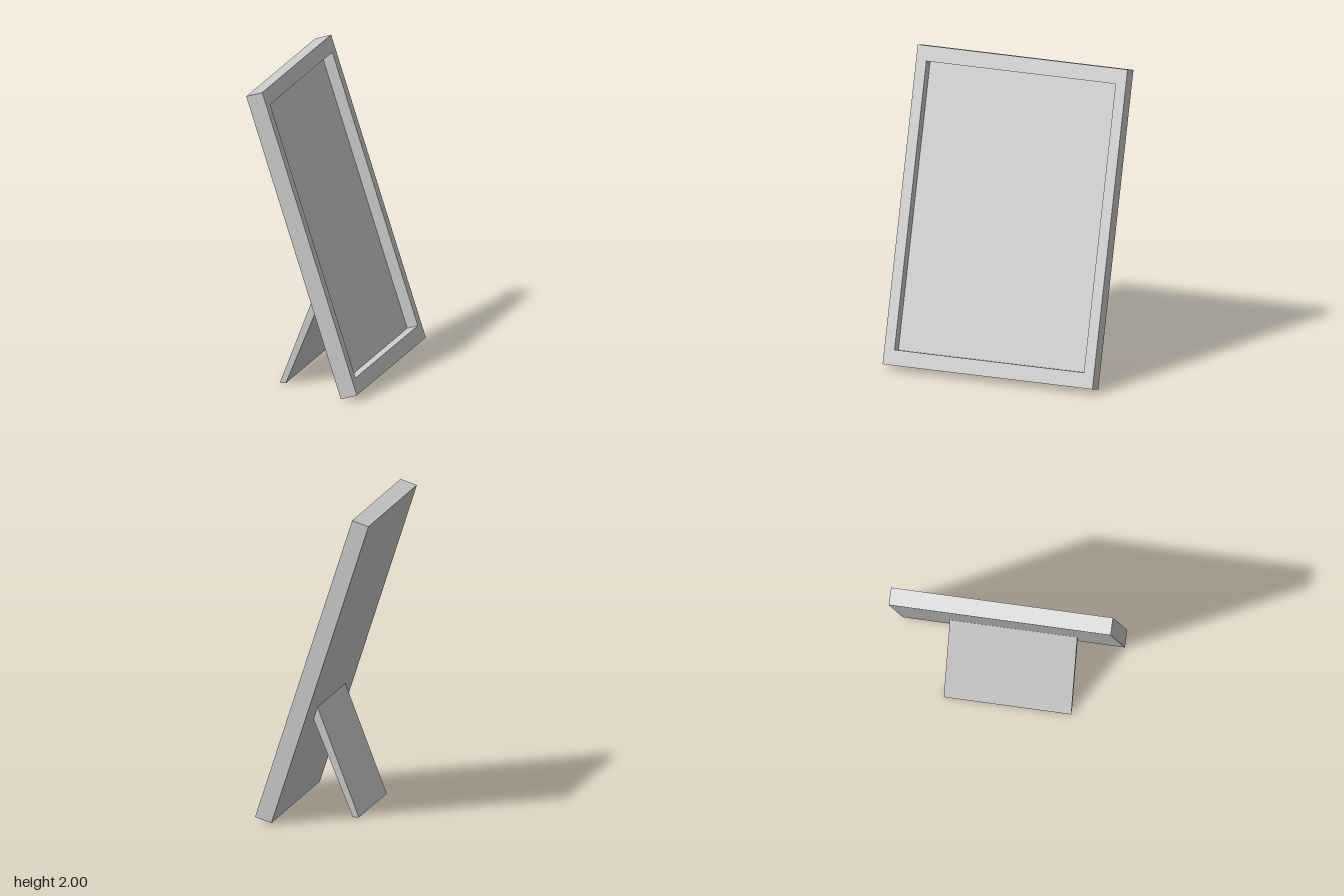
import * as THREE from 'three';

const WIDTH = 1.436, HEIGHT = 2.06, DEPTH = 0.113; // frame
const SIDE = 0.07, END = 0.1, RECESS = 0.075; // border widths, recess depth
const LEAN = THREE.MathUtils.degToRad(18);

// Closed outline of a rectangle centred on x, from y0 to y1
function rectPoints(w, y0, y1) {
  return [[-w / 2, y0], [w / 2, y0], [w / 2, y1], [-w / 2, y1]].map(([x, y]) => new THREE.Vector2(x, y));
}

export function createModel() {
  const model = new THREE.Group();
  const material = new THREE.MeshStandardMaterial({ color: 0xcccccc, flatShading: true });

  const add = (parent, name, geometry) => {
    const mesh = new THREE.Mesh(geometry, material);
    mesh.name = name;
    parent.add(mesh);
    return mesh;
  };

  // Leaning picture frame, facing +x, pivoted on its lower back edge
  const frame = new THREE.Group();
  frame.name = 'pictureFrame';
  frame.position.set(0.263, 0.006, 0);
  frame.rotation.z = LEAN;
  model.add(frame);

  // Border with rectangular opening
  const innerW = WIDTH - 2 * SIDE;
  const border = new THREE.Shape(rectPoints(WIDTH, 0, HEIGHT));
  border.holes.push(new THREE.Path(rectPoints(innerW, END, HEIGHT - END).reverse()));
  add(frame, 'border', new THREE.ExtrudeGeometry(border, { depth: DEPTH, bevelEnabled: false }).rotateY(Math.PI / 2));

  // Backing panel set at the rear of the opening
  const panelDepth = DEPTH - RECESS;
  add(frame, 'backingPanel', new THREE.BoxGeometry(panelDepth, HEIGHT - 2 * END, innerW))
    .position.set(panelDepth / 2, HEIGHT / 2, 0);

  // Slanted rear support, mitred to the frame back and the ground
  const profile = new THREE.Shape([[-0.236, 0], [-0.196, 0], [0.062, 0.63], [0.036, 0.71]].map(([x, y]) => new THREE.Vector2(x, y)));
  add(model, 'rearSupport', new THREE.ExtrudeGeometry(profile, { depth: 0.825, bevelEnabled: false }))
    .position.z = -0.382;

  return model;
}
